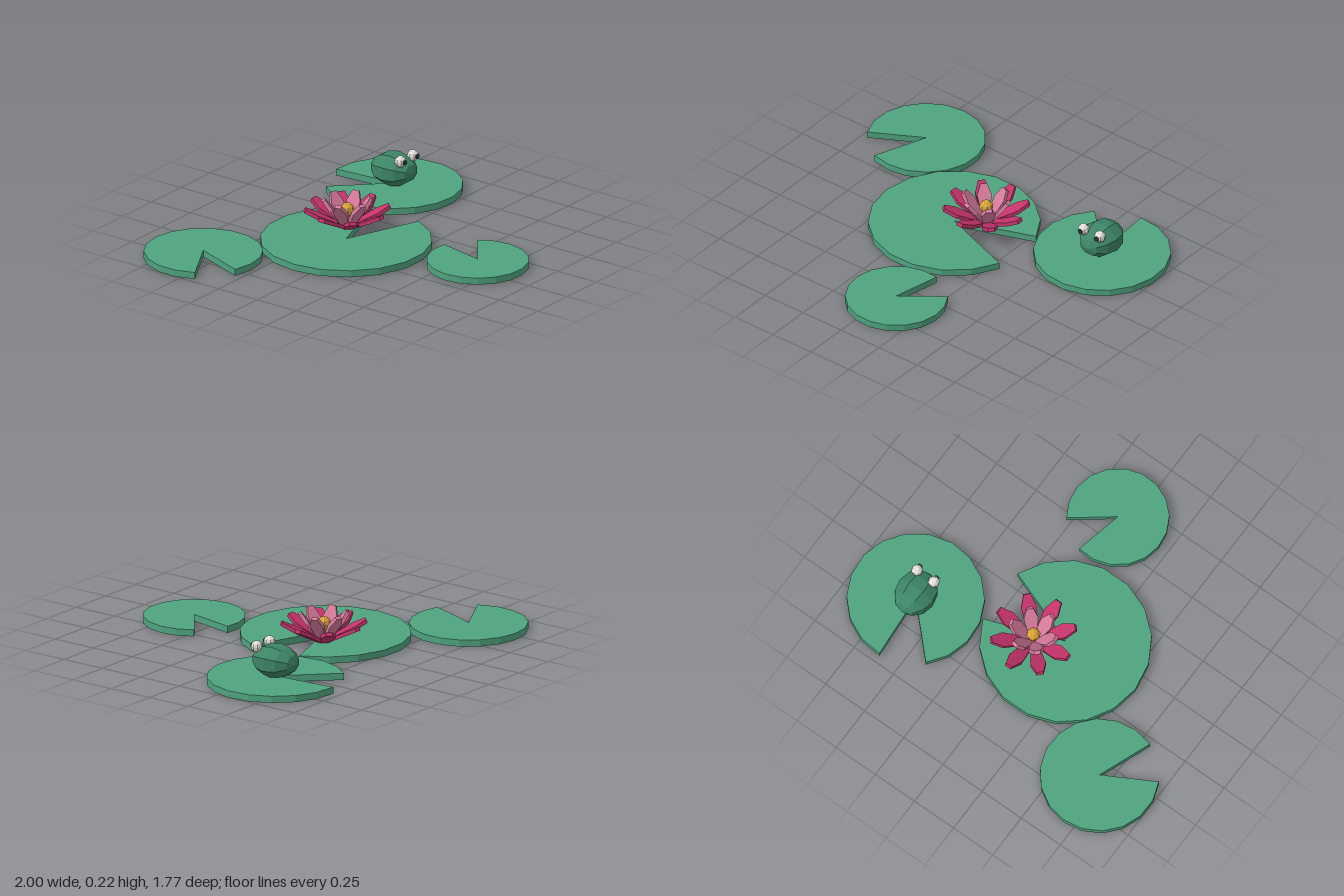
import * as THREE from 'three';

const mat = (name, color, flat = true) => {
  const m = new THREE.MeshStandardMaterial({ color, flatShading: flat });
  m.name = name;
  return m;
};

const PAD_HEIGHT = 0.036;

// Round leaf with a 40 degree notch, pointing towards notchDeg (from +x to +z)
function padGeometry(radius, notchDeg) {
  const shape = new THREE.Shape();
  shape.moveTo(0, 0);
  for (let i = 0; i <= 16; i++) {
    const a = THREE.MathUtils.degToRad(notchDeg + 20 + i * 20);
    shape.lineTo(radius * Math.cos(a), radius * Math.sin(a));
  }
  shape.closePath();
  const geo = new THREE.ExtrudeGeometry(shape, { depth: PAD_HEIGHT, bevelEnabled: false });
  return geo.rotateX(Math.PI / 2).translate(0, PAD_HEIGHT, 0);
}

// Blunt petal along +x: narrow base, wide middle, tapered tip
function petalGeometry(length, width) {
  const stations = [[0, 0.4], [0.35, 0.75], [0.68, 1], [1, 0.45]];
  const geo = new THREE.BoxGeometry(1, 0.02, 1, 3, 1, 1);
  const p = geo.attributes.position;
  for (let i = 0; i < p.count; i++) {
    const [t, w] = stations[Math.round((p.getX(i) + 0.5) * 3)];
    p.setX(i, t * length);
    p.setZ(i, p.getZ(i) * w * width);
  }
  geo.computeVertexNormals();
  return geo;
}

export function createModel() {
  const model = new THREE.Group();
  model.name = 'lilyPond';

  const leafGreen = mat('leaf green', 0x4fa37f);
  const frogGreen = mat('frog green', 0x3d8566);
  const crimson = mat('crimson', 0xc2336a);
  const pink = mat('pink', 0xd67a9b);
  const gold = mat('gold', 0xd9a43b);
  const white = mat('eye white', 0xe9e6df);
  const dark = mat('pupil dark', 0x2c3d38);

  const add = (parent, name, geo, material, x = 0, y = 0, z = 0) => {
    const mesh = new THREE.Mesh(geo, material);
    mesh.name = name;
    mesh.position.set(x, y, z);
    parent.add(mesh);
    return mesh;
  };

  // Lily pads: x, z, radius, notch direction
  [
    [-0.12, -0.09, 0.446, 0],
    [-0.694, -0.58, 0.309, 131],
    [0.645, -0.355, 0.357, 245.5],
    [0.065, 0.622, 0.266, -57.5],
  ].forEach(([x, z, r, notch]) => add(model, 'lilyPad', padGeometry(r, notch), leafGreen, x, 0, z));

  // Flower
  const flower = new THREE.Group();
  flower.name = 'flower';
  flower.position.set(0.016, 0.042, -0.185);
  model.add(flower);

  const petalRing = (name, count, startDeg, length, width, baseRadius, liftDeg, material) => {
    const geo = petalGeometry(length, width);
    for (let i = 0; i < count; i++) {
      const a = THREE.MathUtils.degToRad(startDeg + (i * 360) / count);
      const petal = add(flower, name, geo, material, baseRadius * Math.cos(a), 0, baseRadius * Math.sin(a));
      petal.rotation.set(0, -a, THREE.MathUtils.degToRad(liftDeg));
    }
  };
  petalRing('outerPetal', 8, 0, 0.215, 0.08, 0.03, 27, crimson);
  petalRing('innerPetal', 6, 45, 0.182, 0.076, 0.02, 55, pink);

  add(flower, 'flowerStalk', new THREE.CylinderGeometry(0.015, 0.015, 0.09, 6), gold, 0, 0.04, 0);
  add(flower, 'flowerHeart', new THREE.SphereGeometry(0.037, 8, 6), gold, 0, 0.09, 0);

  // Frog, sitting on the right-hand pad
  const frog = new THREE.Group();
  frog.name = 'frog';
  frog.position.set(0.642, 0, -0.355);
  model.add(frog);

  const bodyGeo = new THREE.SphereGeometry(1, 8, 6)
    .rotateY(Math.PI / 8)
    .rotateX(Math.PI / 2)
    .scale(0.113, 0.09, 0.127);
  add(frog, 'frogBody', bodyGeo, frogGreen, 0, 0.118, 0);

  for (const side of [-1, 1]) {
    add(frog, 'eye', new THREE.SphereGeometry(0.031, 8, 6), white, side * 0.054, 0.193, 0.082);
    const pupil = add(frog, 'pupil', new THREE.CylinderGeometry(0.014, 0.014, 0.008, 6), dark,
      side * 0.054, 0.193, 0.111);
    pupil.rotation.x = Math.PI / 2;
  }

  return model;
}
